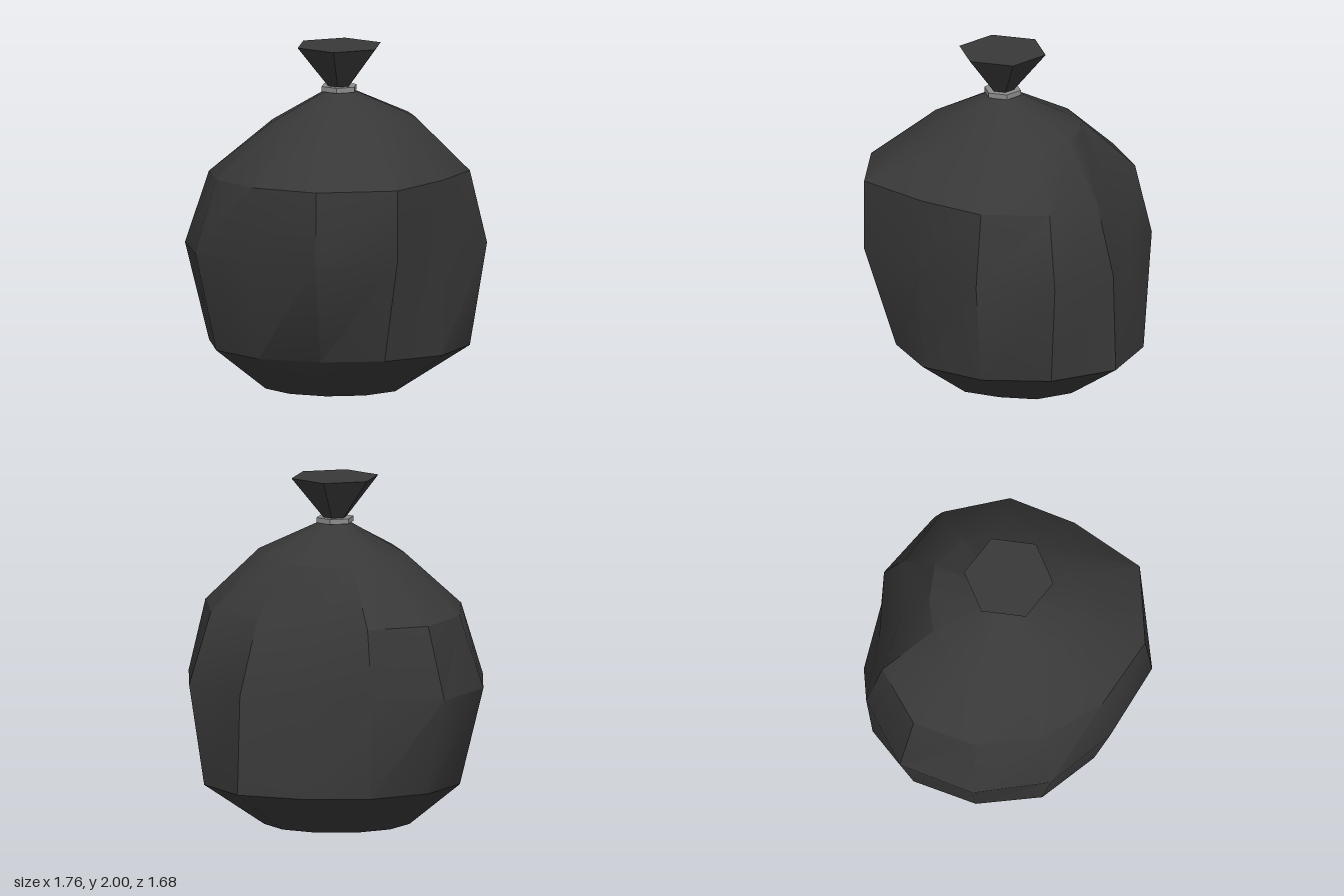
import * as THREE from 'three';
import { toCreasedNormals } from 'three/addons/utils/BufferGeometryUtils.js';

const SIDES = 12;

// Cross-sections: height, centre x, centre z, and radii going round from the front towards +x.
const rings = [
  { y: 0, x: 0, z: -0.09, r: [.44, .44, .43, .4, .43, .44, .44, .44, .44, .44, .44, .44] },
  { y: .245, x: 0, z: -0.09, r: [.71, .73, .77, .78, .79, .81, .75, .75, .75, .74, .75, .74] },
  { y: .83, x: 0, z: -0.09, r: [.93, .92, .8, .88, .88, .79, .66, .79, .88, .88, .88, .86] },
  { y: 1.25, x: 0, z: -0.09, r: [.89, .92, .78, .78, .75, .65, .53, .69, .75, .74, .75, .8] },
  { y: 1.56, x: 0, z: -0.09, r: [.5, .5, .46, .46, .45, .42, .37, .37, .39, .37, .41, .46] },
  { y: 1.745, x: .03, z: 0, r: new Array(SIDES).fill(.07) },
];

function sackGeometry() {
  const pos = [], index = [];
  for (const { y, x, z, r } of rings) {
    r.forEach((radius, i) => {
      const a = i / SIDES * Math.PI * 2;
      // the upper sack leans: a little higher at the front right
      const lift = y > .5 && y < 1.7 ? .025 * Math.sin(a + .8) : 0;
      pos.push(x + radius * Math.sin(a), y + lift, z + radius * Math.cos(a));
    });
  }
  for (let k = 0; k < rings.length - 1; k++) {
    for (let i = 0; i < SIDES; i++) {
      const j = (i + 1) % SIDES;
      const a = k * SIDES + i, b = k * SIDES + j;
      index.push(a, b, b + SIDES, a, b + SIDES, a + SIDES);
    }
  }
  // flat base
  for (let i = 1; i < SIDES - 1; i++) index.push(0, i + 1, i);
  const g = new THREE.BufferGeometry();
  g.setAttribute('position', new THREE.Float32BufferAttribute(pos, 3));
  g.setIndex(index);
  return toCreasedNormals(g, THREE.MathUtils.degToRad(30));
}

export function createModel() {
  const plastic = new THREE.MeshStandardMaterial({ color: 0x383838 });
  plastic.name = 'black plastic';
  const cord = new THREE.MeshStandardMaterial({ color: 0x8c8c8c });
  cord.name = 'grey tie';

  const group = new THREE.Group();
  group.name = 'rubbishBag';
  const add = (name, geometry, material, y = 0, x = 0) => {
    const mesh = new THREE.Mesh(geometry, material);
    mesh.name = name;
    mesh.position.set(x, y, 0);
    group.add(mesh);
  };
  const hex = (top, bottom, height) =>
    toCreasedNormals(new THREE.CylinderGeometry(top, bottom, height, 6), 0.3);

  // lumpy full sack, tie round the neck, flared gathered end
  add('sack', sackGeometry(), plastic);
  add('tie', hex(.11, .11, .03), cord, 1.75, .03);
  add('gatheredTop', hex(.26, .065, .24), plastic, 1.88, .03);
  return group;
}
